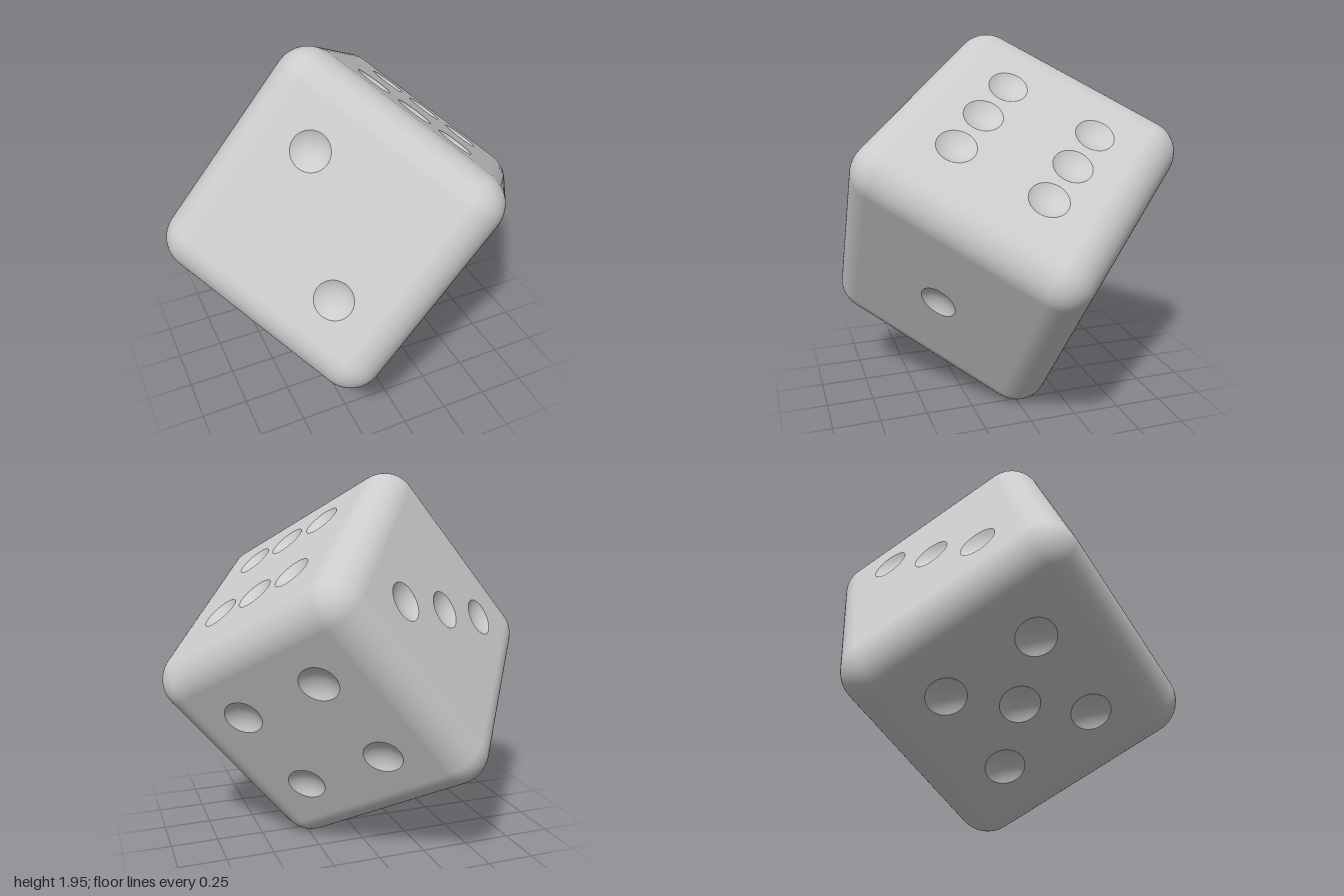
import * as THREE from 'three';
import { RoundedBoxGeometry } from 'three/addons/geometries/RoundedBoxGeometry.js';

const H = 0.652;      // half side of the cube
const R = 0.173;      // edge rounding
const PIP = 0.1;      // pip radius
const DEPTH = 0.035;  // pip depth
const STEP = 0.253;   // pip spacing
const mat = new THREE.MeshStandardMaterial({ color: 0xcccccc, roughness: 0.6 });

// Rounded edges and corners: a rounded box with its six flat panels left out
function shellGeometry() {
  const box = new RoundedBoxGeometry(2 * H, 2 * H, 2 * H, 8, R);
  const src = box.index ? box.toNonIndexed() : box;
  const p = src.attributes.position, n = src.attributes.normal;
  const pos = [], nor = [];
  for (let i = 0; i < p.count; i += 3) {
    const flat = [0, 1, 2].some((axis) => [1, -1].some((s) =>
      [0, 1, 2].every((k) => Math.abs(p.getComponent(i + k, axis) - s * H) < 1e-5)));
    if (flat) continue;
    for (let k = 0; k < 3; k++) {
      pos.push(p.getX(i + k), p.getY(i + k), p.getZ(i + k));
      nor.push(n.getX(i + k), n.getY(i + k), n.getZ(i + k));
    }
  }
  const g = new THREE.BufferGeometry();
  g.setAttribute('position', new THREE.Float32BufferAttribute(pos, 3));
  g.setAttribute('normal', new THREE.Float32BufferAttribute(nor, 3));
  return g;
}

// Shallow spherical bowl, open towards +z
function pipGeometry() {
  const rho = (PIP * PIP + DEPTH * DEPTH) / (2 * DEPTH);
  const span = Math.asin(PIP / rho);
  const profile = [];
  for (let i = 0; i <= 8; i++) {
    const a = span * (1 - i / 8);
    profile.push(new THREE.Vector2(rho * Math.sin(a), rho - DEPTH - rho * Math.cos(a)));
  }
  return new THREE.LatheGeometry(profile, 48).rotateX(Math.PI / 2);
}

// Flat square panel with a round hole for every pip
function panelGeometry(pips) {
  const s = H - R;
  const shape = new THREE.Shape([[-s, -s], [s, -s], [s, s], [-s, s]]
    .map(([x, y]) => new THREE.Vector2(x, y)));
  for (const [u, v] of pips) {
    shape.holes.push(new THREE.Path().absarc(u * STEP, v * STEP, PIP, 0, Math.PI * 2, true));
  }
  return new THREE.ShapeGeometry(shape, 24);
}

export function createModel() {
  const model = new THREE.Group();
  model.name = 'die';
  const cube = new THREE.Group();
  cube.name = 'tiltedCube';
  model.add(cube);

  const shell = new THREE.Mesh(shellGeometry(), mat);
  shell.name = 'roundedEdges';
  cube.add(shell);

  const X = new THREE.Vector3(1, 0, 0), Y = new THREE.Vector3(0, 1, 0), Z = new THREE.Vector3(0, 0, 1);
  const corners = [[-1, -1], [1, -1], [1, 1], [-1, 1]];
  const diagonal = [[-1, 1], [1, -1]];
  // Each face: name, its two in-plane axes, pip positions
  const faces = [
    ['faceOne', Y, Z, [[0, 0]]],
    ['faceTwo', X, Y, diagonal],
    ['faceThree', Z, Y, [...diagonal, [0, 0]]],
    ['faceFour', Y, X, corners],
    ['faceFive', X, Z, [...corners, [0, 0]]],
    ['faceSix', Z, X, [...corners, [-1, 0], [1, 0]]],
  ];
  const pipGeo = pipGeometry();
  for (const [name, u, v, pips] of faces) {
    const face = new THREE.Group();
    face.name = name;
    const n = u.clone().cross(v);
    face.quaternion.setFromRotationMatrix(new THREE.Matrix4().makeBasis(u, v, n));
    face.position.copy(n).multiplyScalar(H);
    const panel = new THREE.Mesh(panelGeometry(pips), mat);
    panel.name = 'panel';
    face.add(panel);
    for (const [a, b] of pips) {
      const pip = new THREE.Mesh(pipGeo, mat);
      pip.name = 'pip';
      pip.position.set(a * STEP, b * STEP, 0);
      face.add(pip);
    }
    cube.add(face);
  }

  // Stand the cube on one corner
  const up = new THREE.Vector3(0.637, 0.771, 0.004).normalize();
  const side = new THREE.Vector3(0.555, -0.459, 0.694);
  side.addScaledVector(up, -side.dot(up)).normalize();
  const front = side.clone().cross(up);
  cube.quaternion.setFromRotationMatrix(new THREE.Matrix4().makeBasis(side, up, front));
  cube.position.y = 0.975;
  return model;
}
